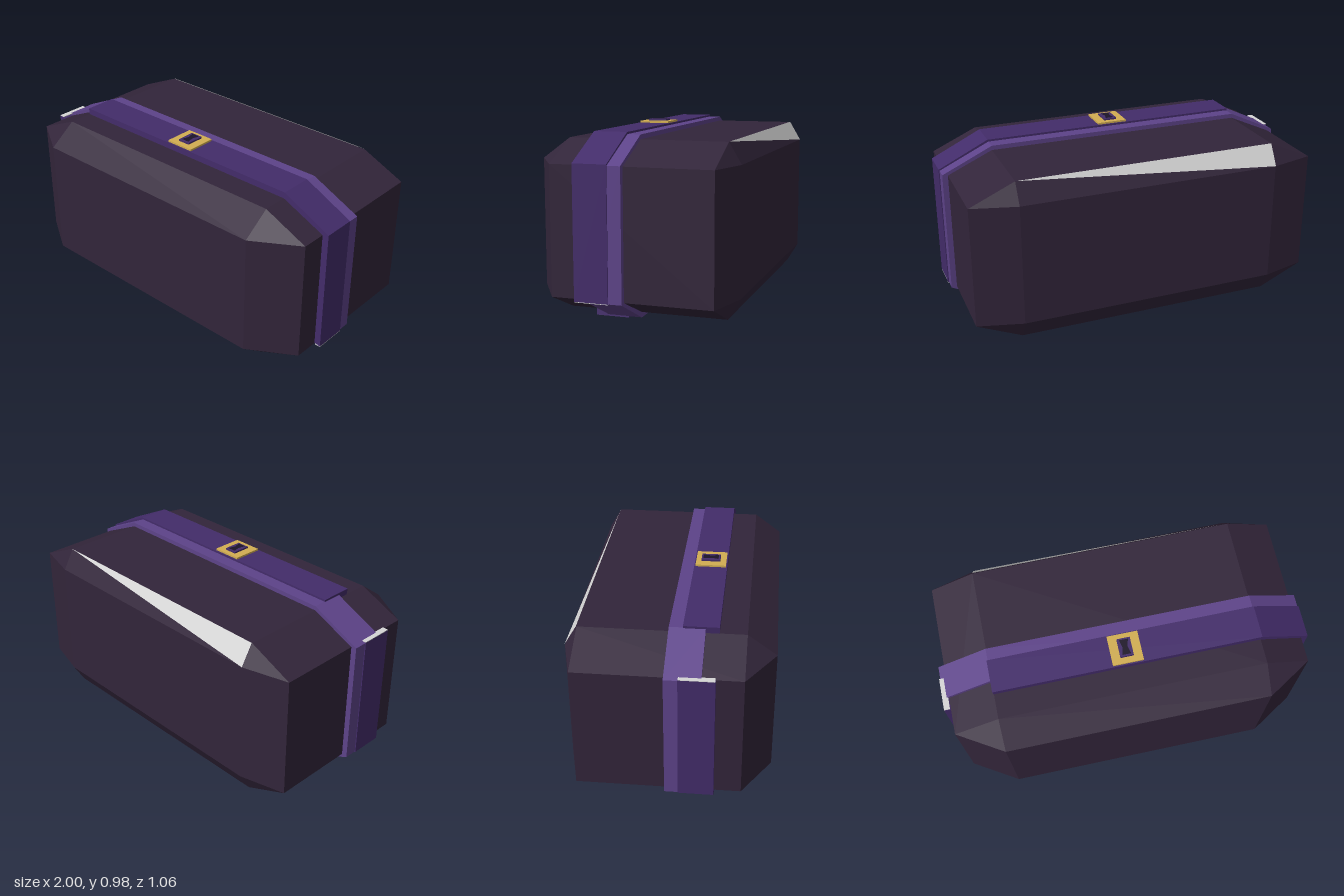
import * as THREE from 'three';
import { ConvexGeometry } from 'three/addons/geometries/ConvexGeometry.js';

const mat = (name, color) => new THREE.MeshStandardMaterial({ name, color, flatShading: true });

export function createModel() {
  const group = new THREE.Group();
  const shell = mat('dark plum', 0x32253a);
  const purple = mat('deep purple', 0x432c6a);
  const violet = mat('light violet', 0x5d4389);
  const gold = mat('gold', 0xd2ae52);
  const pale = mat('pale grey', 0xd6d6d6);
  const dark = mat('near black', 0x1c1428);
  pale.side = THREE.DoubleSide;

  const add = (name, geometry, material, x = 0, y = 0, z = 0, parent = group) => {
    const mesh = new THREE.Mesh(geometry, material);
    mesh.name = name;
    mesh.position.set(x, y, z);
    parent.add(mesh);
    return mesh;
  };

  // Bevelled case: one outer rectangle per side, joined as a hull
  const points = [];
  for (const s of [-1, 1]) {
    for (const [zFlat, zFace] of [[0.38, 0.53], [-0.465, -0.53]]) {
      for (const [yFlat, yFace] of [[0.925, 0.815], [0.035, 0.145]]) {
        points.push(
          new THREE.Vector3(s * 0.72, yFlat, zFlat),
          new THREE.Vector3(s * 0.965, yFace, zFlat),
          new THREE.Vector3(s * 0.72, yFace, zFace));
      }
    }
  }
  add('case', new ConvexGeometry(points), shell);

  // Pale sliver on the upper rear bevel
  const sliver = new THREE.BufferGeometry();
  sliver.setAttribute('position', new THREE.Float32BufferAttribute(
    [-0.72, 0.815, -0.53, -0.72, 0.925, -0.465, 0.72, 0.925, -0.465], 3));
  sliver.computeVertexNormals();
  add('rearBevelSliver', sliver, pale, 0, 0.0015, -0.0026);

  // Eight-sided outline, counter-clockwise from the lower right
  const octagon = (xFlat, xSide, yLow, yLowSide, yHighSide, yHigh) => [
    [xFlat, yLow], [xSide, yLowSide], [xSide, yHighSide], [xFlat, yHigh],
    [-xFlat, yHigh], [-xSide, yHighSide], [-xSide, yLowSide], [-xFlat, yLow],
  ];
  const inner = octagon(0.72, 0.955, 0.045, 0.15, 0.81, 0.915);

  // Strap wrapped round the case, one block per straight run
  const addStrap = (name, outer, z0, z1, material, skipped = []) => {
    const strap = new THREE.Group();
    strap.name = name;
    group.add(strap);
    for (let i = 0; i < 8; i++) {
      if (skipped.includes(i)) continue;
      const j = (i + 1) % 8;
      const run = new THREE.Shape(
        [outer[i], outer[j], inner[j], inner[i]].map(([x, y]) => new THREE.Vector2(x, y)));
      add(name + 'Run', new THREE.ExtrudeGeometry(run, { depth: z1 - z0, bevelEnabled: false }),
        material, 0, 0, z0, strap);
    }
  };
  addStrap('underStrap', octagon(0.72, 0.995, 0.006, 0.14, 0.82, 0.949), -0.007, 0.175, violet);
  // The upper strap is open at two opposite corners
  addStrap('upperStrap', octagon(0.725, 1, 0, 0.14, 0.826, 0.96), 0.063, 0.243, purple, [0, 4]);

  // Pale cut ends of the open strap corners
  for (const [x, y] of [[-0.984, 0.827], [0.984, 0.139]]) {
    add('strapCutEnd', new THREE.BoxGeometry(0.032, 0.004, 0.178), pale, x, y, 0.153);
  }

  // Buckle: gold frame with a raised purple lock
  const frame = new THREE.Shape();
  frame.moveTo(-0.083, -0.083).lineTo(0.083, -0.083).lineTo(0.083, 0.083).lineTo(-0.083, 0.083);
  const opening = new THREE.Path();
  opening.moveTo(-0.035, -0.05).lineTo(-0.035, 0.05).lineTo(0.035, 0.05).lineTo(0.035, -0.05);
  frame.holes.push(opening);
  const frameGeo = new THREE.ExtrudeGeometry(frame, { depth: 0.012, bevelEnabled: false });
  add('buckleFrame', frameGeo.rotateX(-Math.PI / 2), gold, 0, 0.958, 0.153);
  add('buckleLock', new THREE.BoxGeometry(0.072, 0.021, 0.102), purple, 0, 0.9685, 0.15);

  // Waisted slot on the lock
  const slot = new THREE.Shape([[-0.024, -0.042], [0.024, -0.042], [0.014, 0], [0.024, 0.042],
    [-0.024, 0.042], [-0.014, 0]].map(([x, y]) => new THREE.Vector2(x, y)));
  add('buckleSlot', new THREE.ShapeGeometry(slot).rotateX(-Math.PI / 2), dark, 0, 0.9805, 0.15);

  return group;
}
